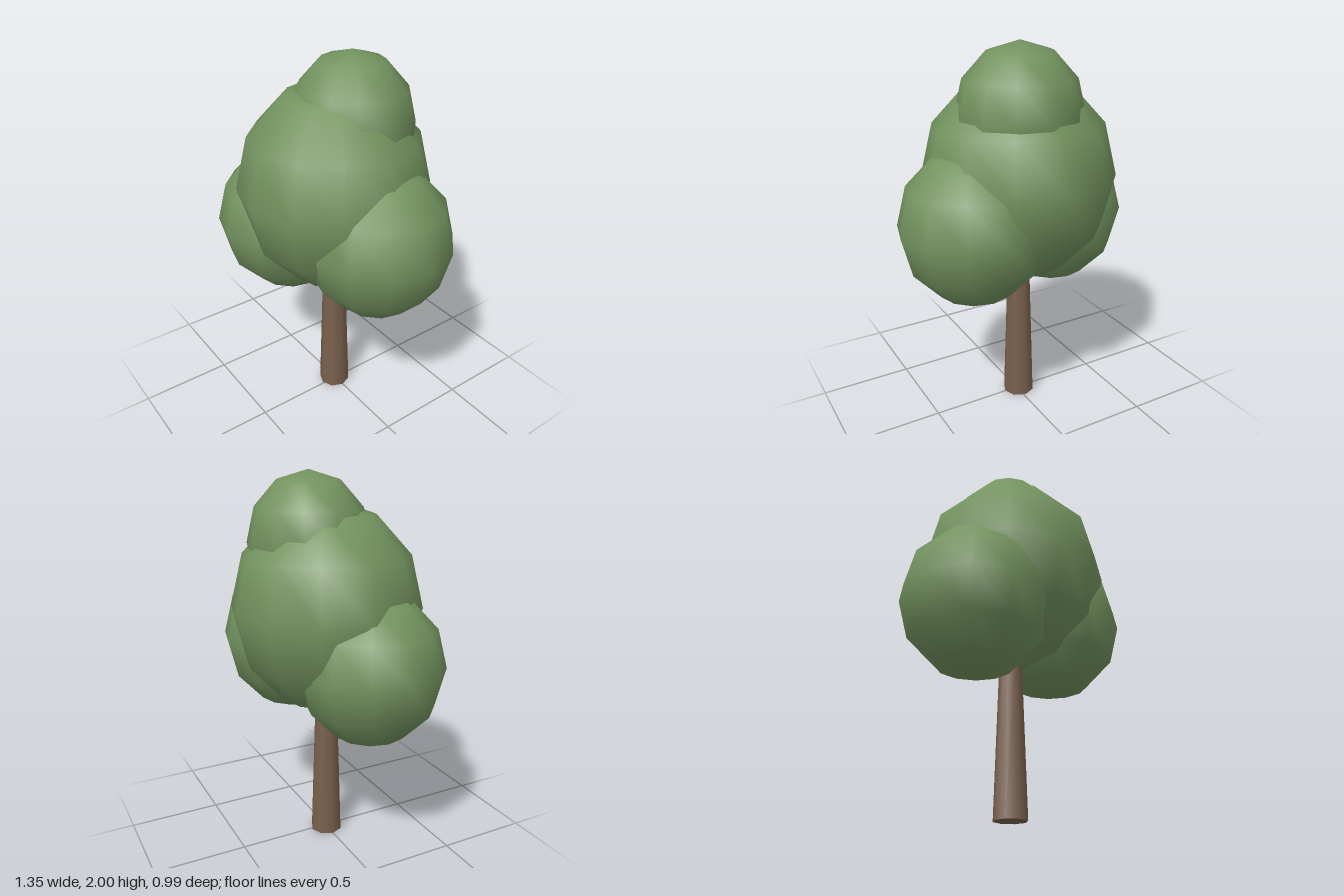
import * as THREE from 'three';

export function createModel() {
  const tree = new THREE.Group();
  tree.name = 'tree';
  const bark = new THREE.MeshStandardMaterial({ color: 0x7a614e });
  const leaves = new THREE.MeshStandardMaterial({ color: 0x73935f });

  // Tapered trunk, its top hidden inside the foliage
  const trunk = new THREE.Mesh(new THREE.CylinderGeometry(0.058, 0.087, 0.9, 8), bark);
  trunk.name = 'trunk';
  trunk.position.set(-0.013, 0.45, 0);
  tree.add(trunk);

  // Foliage clumps: name, centre, radii
  const clumps = [
    ['mainFoliage', [-0.012, 1.31, 0], [0.51, 0.55, 0.497]],
    ['topFoliage', [0.025, 1.64, -0.08], [0.33, 0.36, 0.313]],
    ['rightFoliage', [-0.285, 1.045, 0.11], [0.39, 0.405, 0.383]],
    ['leftFoliage', [0.275, 1.105, -0.06], [0.395, 0.415, 0.385]],
  ];
  for (const [name, centre, radii] of clumps) {
    const geometry = new THREE.SphereGeometry(1, 12, 6).scale(...radii);
    const clump = new THREE.Mesh(geometry, leaves);
    clump.name = name;
    clump.position.set(...centre);
    tree.add(clump);
  }
  return tree;
}
